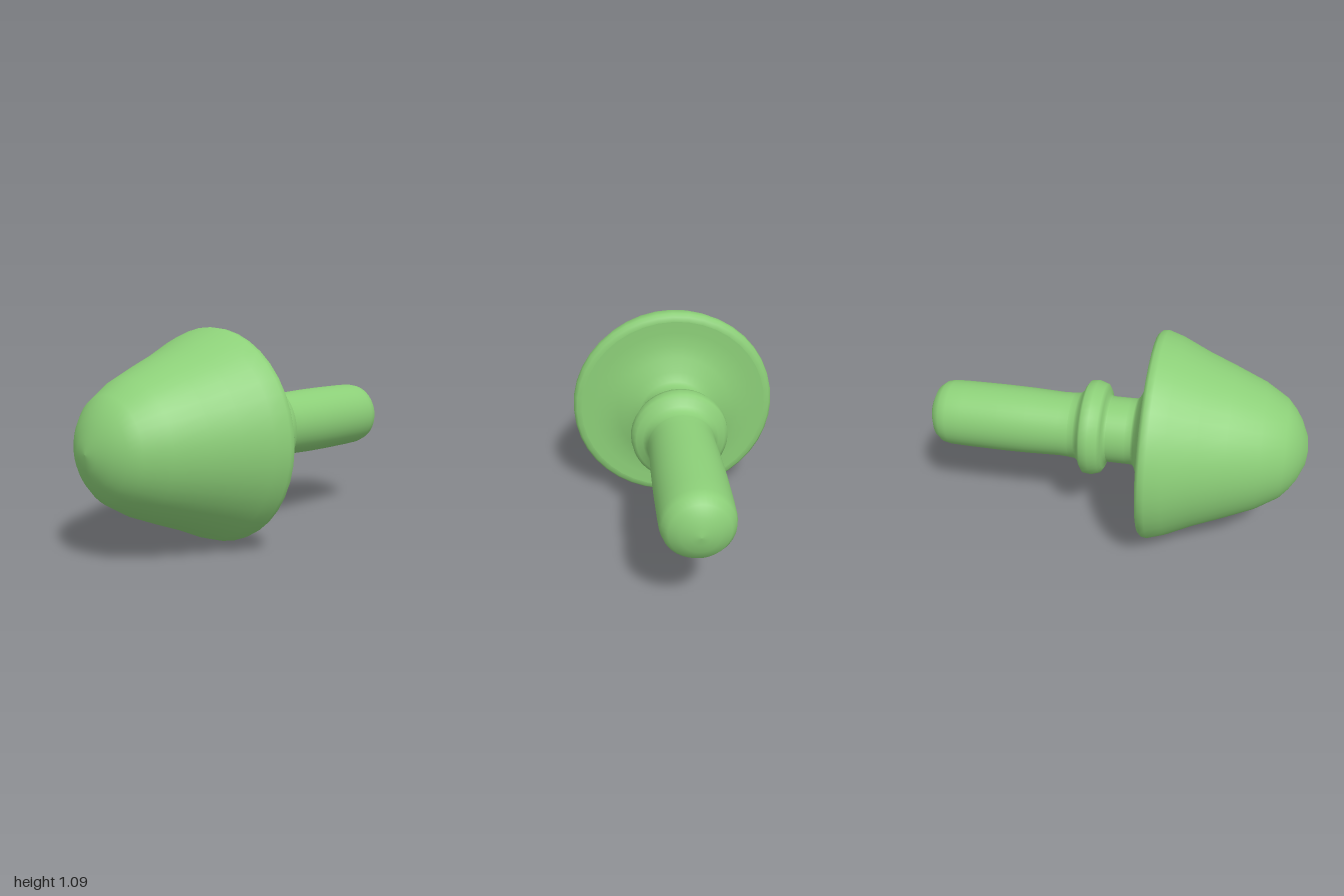
import * as THREE from 'three';

const AXIS_HEIGHT = 0.545;

// Turned part around the x axis; profile is a list of [x, radius] from -x to +x
function turned(name, profile, sides, material) {
  const points = profile.map(([x, r]) => new THREE.Vector2(r, x));
  const geometry = new THREE.LatheGeometry(points, sides);
  geometry.rotateZ(-Math.PI / 2);
  const mesh = new THREE.Mesh(geometry, material);
  mesh.name = name;
  mesh.position.y = AXIS_HEIGHT;
  return mesh;
}

export function createModel() {
  const group = new THREE.Group();
  group.name = 'plug';
  const green = new THREE.MeshStandardMaterial({ color: 0x8ccf78, side: THREE.DoubleSide });

  // Domed, flaring head with a rounded rim
  const head = [
    [-1, 0], [-0.99, 0.075], [-0.955, 0.155], [-0.92, 0.207], [-0.875, 0.257],
    [-0.76, 0.328], [-0.6, 0.396], [-0.46, 0.452], [-0.32, 0.517],
    [-0.24, 0.543], [-0.21, 0.54], [-0.193, 0.525], [-0.19, 0.5],
  ];
  // Flat underside sweeping into the neck
  const underside = [
    [-0.19, 0.5], [-0.19, 0.44], [-0.188, 0.37], [-0.17, 0.305],
    [-0.145, 0.235], [-0.125, 0.187], [-0.11, 0.175], [-0.08, 0.174],
  ];
  const neck = [[-0.08, 0.174], [0.02, 0.174]];
  // Rounded ring around the shaft
  const collar = [
    [0.02, 0.174], [0.035, 0.182], [0.04, 0.21], [0.055, 0.235], [0.1, 0.25],
    [0.14, 0.246], [0.155, 0.226], [0.17, 0.193], [0.19, 0.176], [0.22, 0.172],
  ];
  // Long shaft with a rounded tip
  const shaft = [
    [0.22, 0.172], [0.28, 0.169], [0.45, 0.175], [0.6, 0.177], [0.8, 0.176],
    [0.88, 0.174], [0.92, 0.166], [0.955, 0.14], [0.98, 0.09], [0.993, 0.045], [1, 0],
  ];

  group.add(
    turned('head', head, 40, green),
    turned('headUnderside', underside, 40, green),
    turned('neck', neck, 40, green),
    turned('collar', collar, 40, green),
    turned('shaft', shaft, 40, green),
  );
  return group;
}
